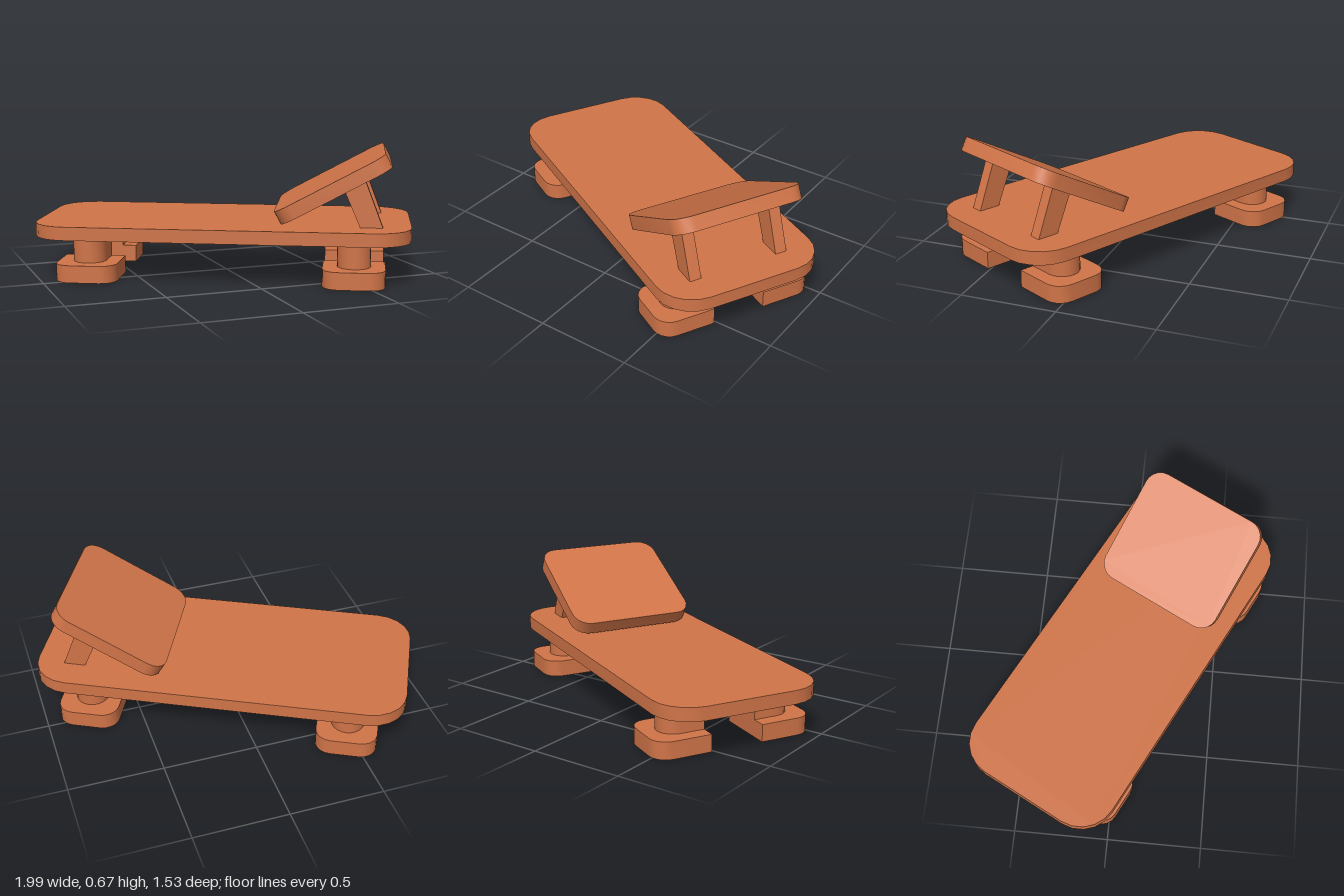
import * as THREE from 'three';
import { toCreasedNormals } from 'three/addons/utils/BufferGeometryUtils.js';

const clay = new THREE.MeshStandardMaterial({ color: 0xd07448, side: THREE.DoubleSide });
clay.name = 'clay orange';

const CUT = 0.14; // inner face of every foot and leg

// Outline points with rounded far corners; x spans -a..a, y spans near..far
function outline(a, near, far, r, roundNear) {
  const pts = [];
  const arc = (cx, cy, start) => {
    for (let i = 0; i <= 5; i++) {
      const t = start - (i / 5) * Math.PI / 2;
      pts.push(new THREE.Vector2(cx + r * Math.cos(t), cy + r * Math.sin(t)));
    }
  };
  if (roundNear) arc(-a + r, near + r, -Math.PI / 2);
  else pts.push(new THREE.Vector2(-a, near));
  arc(-a + r, far - r, Math.PI);
  arc(a - r, far - r, Math.PI / 2);
  if (roundNear) arc(a - r, near + r, 0);
  else pts.push(new THREE.Vector2(a, near));
  // drop points that coincide where two arcs meet
  return pts.filter((p, i) => i === 0 || p.distanceTo(pts[i - 1]) > 1e-5);
}

// Upright prism between y0 and y1, optionally without its caps
function prism(pts, y0, y1, open = false) {
  const geo = new THREE.ExtrudeGeometry(new THREE.Shape(pts), { depth: y1 - y0, bevelEnabled: false });
  geo.rotateX(Math.PI / 2).translate(0, y1, 0);
  if (!open) {
    geo.clearGroups();
    return toCreasedNormals(geo, 0.6);
  }
  const walls = new THREE.BufferGeometry();
  const start = geo.groups[1].start * 3;
  walls.setAttribute('position', new THREE.BufferAttribute(geo.attributes.position.array.slice(start), 3));
  return toCreasedNormals(walls, 0.6);
}

function part(name, geo, parent) {
  const mesh = new THREE.Mesh(geo, clay);
  mesh.name = name;
  parent.add(mesh);
  return mesh;
}

// Hollow foot open at the bottom, with a hollow leg rising from it
function makeLeg() {
  const leg = new THREE.Group();
  leg.name = 'leg';
  const foot = outline(0.16, CUT, 0.43, 0.086, false);
  const post = outline(0.086, CUT, 0.355, 0.0859, false);
  part('footWalls', prism(foot, 0, 0.09, true), leg);
  part('legPost', prism(post, 0.09, 0.22, true), leg);
  const top = new THREE.ShapeGeometry(new THREE.Shape([...foot, ...post.slice().reverse()]));
  part('footTop', top.rotateX(Math.PI / 2).translate(0, 0.09, 0), leg);
  return leg;
}

export function createModel() {
  const model = new THREE.Group();
  model.name = 'lounger';
  const body = new THREE.Group();
  body.name = 'body';
  body.rotation.y = -0.478; // stands diagonally
  model.add(body);

  // Bed slab
  part('bed', prism(outline(0.977, -0.43, 0.43, 0.19, true), 0.22, 0.29), body);

  // Leg pairs joined by a thin strip under the bed
  for (const end of [-1, 1]) {
    const pair = new THREE.Group();
    pair.name = end > 0 ? 'headLegs' : 'footLegs';
    pair.position.x = end * 0.687;
    const near = makeLeg();
    const far = makeLeg();
    far.rotation.y = Math.PI;
    pair.add(near, far);
    part('legStrip', new THREE.BoxGeometry(0.172, 0.02, CUT * 2).translate(0, 0.21, 0), pair);
    body.add(pair);
  }

  // Tilted headrest
  const rest = part('headrest', prism(outline(0.319, -0.35, 0.35, 0.09, true), -0.075, 0), body);
  rest.position.set(0.555, 0.518, 0);
  rest.rotation.z = 0.496;

  // Leaning struts under the headrest
  const side = new THREE.Shape([[0.719, 0.28], [0.834, 0.28], [0.735, 0.54], [0.631, 0.484]]
    .map(([x, y]) => new THREE.Vector2(x, y)));
  for (const z of [-0.24, 0.24]) {
    const geo = new THREE.ExtrudeGeometry(side, { depth: 0.062, bevelEnabled: false });
    geo.clearGroups();
    part('strut', geo.translate(0, 0, z - 0.031), body);
  }
  return model;
}
